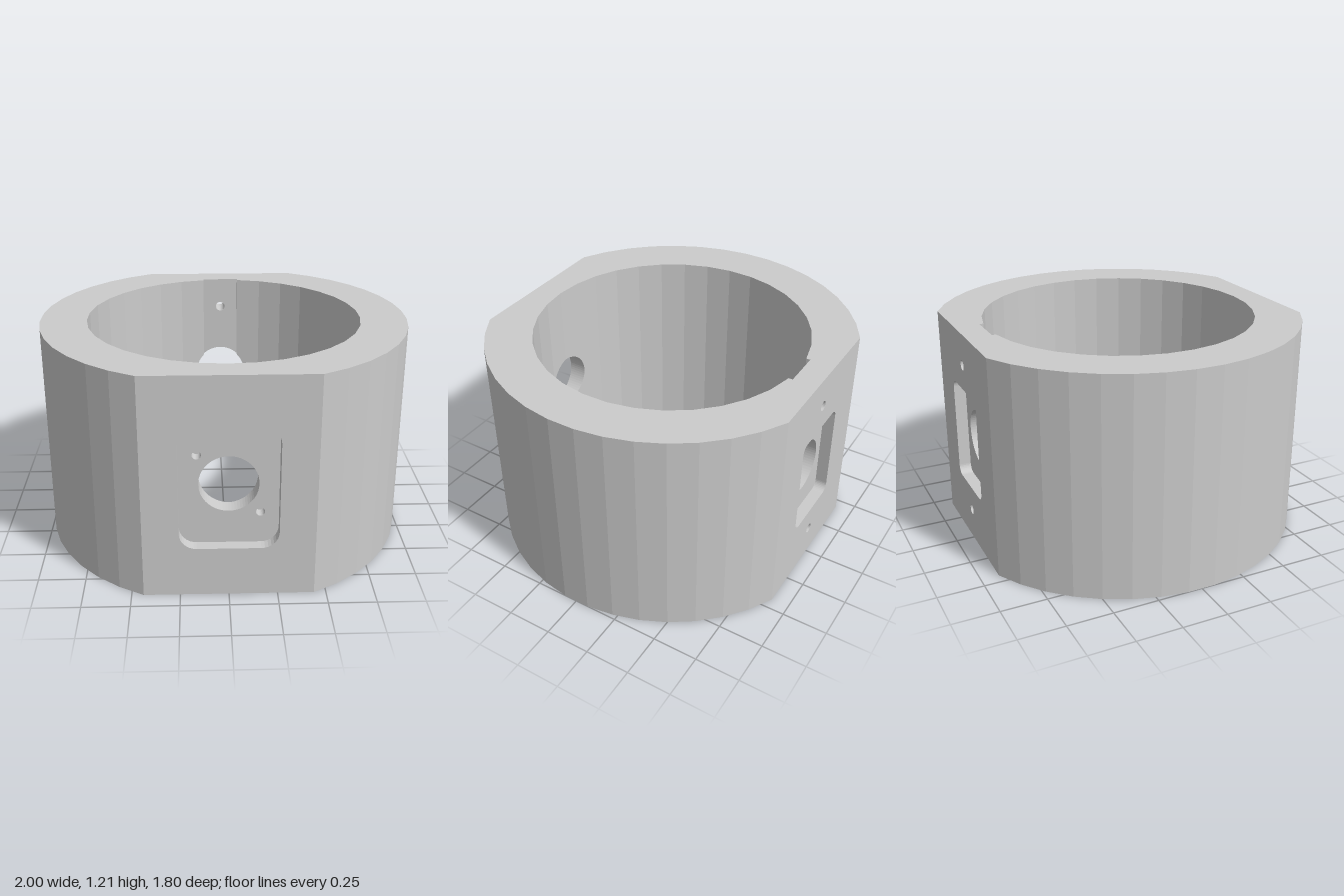
import * as THREE from 'three';

const H = 1.205, MID = 0.603;           // height and bore centre
const R = 1.0028, RI = 0.75, FLAT = 0.902; // outer and inner radius, flat distance
const BORE = 0.152, POCKET = 0.065;     // bore radius, pocket depth
const SLOT = 0.105, SLOT_Z = 0.765;     // keyway half width and floor

const material = new THREE.MeshStandardMaterial({ color: 0xcccccc, flatShading: true });

function mesh(name, geometry) {
  const m = new THREE.Mesh(geometry, material);
  m.name = name;
  return m;
}

// Collects quads (corners counter-clockwise) into one faceted geometry
function quads() {
  const pos = [];
  return {
    add(a, b, c, d) { for (const p of [a, b, c, a, c, d]) pos.push(...p); },
    build() {
      const g = new THREE.BufferGeometry();
      g.setAttribute('position', new THREE.Float32BufferAttribute(pos, 3));
      g.computeVertexNormals();
      return g;
    },
  };
}

function circle(x, y, r, n = 24) {
  return Array.from({ length: n }, (_, i) => {
    const a = (i / n) * Math.PI * 2;
    return new THREE.Vector2(x + r * Math.cos(a), y + r * Math.sin(a));
  });
}

function roundedRect(w, h, r) {
  const pts = [];
  [[1, 1], [-1, 1], [-1, -1], [1, -1]].forEach(([sx, sy], k) => {
    for (let i = 0; i <= 8; i++) {
      const a = (k + i / 8) * Math.PI / 2;
      pts.push(new THREE.Vector2(sx * (w - r) + r * Math.cos(a), MID + sy * (h - r) + r * Math.sin(a)));
    }
  });
  return pts;
}

function plate(outline, holes) {
  const s = new THREE.Shape(outline);
  s.holes = holes.map((h) => new THREE.Path(h));
  return new THREE.ShapeGeometry(s);
}

// Inward-facing walls of a recess running from z0 back to z1
function recess(outline, z0, z1) {
  const q = quads();
  outline.forEach((p, i) => {
    const n = outline[(i + 1) % outline.length];
    q.add([p.x, p.y, z0], [n.x, n.y, z0], [n.x, n.y, z1], [p.x, p.y, z1]);
  });
  return q.build();
}

// Flat side with a rounded pocket, bore opening and drilled holes
function flatSide(name, halfWidth, pocket, faceDrills, floorDrills) {
  const g = new THREE.Group();
  g.name = name;
  const floor = FLAT - POCKET;
  const rim = [[-1, 0], [1, 0], [1, H], [-1, H]].map(([s, y]) => new THREE.Vector2(s * halfWidth, y));
  const face = mesh('flatFace', plate(rim, [pocket, ...faceDrills]));
  face.position.z = FLAT;
  const base = mesh('pocketFloor', plate(pocket, [circle(0, MID, BORE, 64), ...floorDrills]));
  base.position.z = floor;
  g.add(face, base, mesh('pocketWall', recess(pocket, FLAT, floor)));
  // through holes into the keyway
  for (const d of faceDrills) g.add(mesh('throughHole', recess(d, FLAT, SLOT_Z)));
  // blind holes in the pocket floor
  for (const d of floorDrills) {
    g.add(mesh('blindHole', recess(d, floor, floor - 0.06)));
    const end = mesh('blindHoleEnd', plate(d, []));
    end.position.z = floor - 0.06;
    g.add(end);
  }
  return g;
}

export function createModel() {
  const group = new THREE.Group();
  group.name = 'collar';

  // Outer outline: two arcs of 15 facets joined by the flats
  const outer = [], outerWall = quads();
  const half = Math.asin(FLAT / R);
  for (const side of [0, Math.PI]) {
    const arc = [];
    for (let i = 0; i <= 15; i++) {
      const a = side + Math.PI / 2 - half + (2 * half * i) / 15;
      arc.push([R * Math.sin(a), R * Math.cos(a)]);
    }
    for (let i = 0; i < 15; i++) {
      const [p, q] = [arc[i], arc[i + 1]];
      outerWall.add([p[0], 0, p[1]], [q[0], 0, q[1]], [q[0], H, q[1]], [p[0], H, p[1]]);
    }
    outer.push(...arc);
  }
  group.add(mesh('outerWall', outerWall.build()));

  // Inner outline: 32 facets plus the keyway at the back
  const inner = [];
  const end = Math.PI - Math.asin(SLOT / RI);
  for (let i = 0; i <= 32; i++) {
    const a = -end + (2 * end * i) / 32;
    inner.push([RI * Math.sin(a), RI * Math.cos(a)]);
  }
  inner.push([SLOT, -SLOT_Z], [-SLOT, -SLOT_Z]);

  // Inner wall cut by the bore, sliced where the bore needs it
  const innerWall = quads(), boreWall = quads();
  const cuts = Array.from({ length: 33 }, (_, k) => BORE * Math.cos((k * Math.PI) / 32));
  const rise = (x) => Math.sqrt(Math.max(0, BORE * BORE - x * x));
  inner.forEach((p, i) => {
    const q = inner[(i + 1) % inner.length];
    const dx = q[0] - p[0];
    const isSlotFloor = i === 33;
    const ts = Math.abs(dx) < 1e-6 ? [] : cuts.map((x) => (x - p[0]) / dx).filter((t) => t > 1e-4 && t < 0.9999);
    const steps = [0, ...ts.sort((a, b) => a - b), 1];
    for (let k = 0; k + 1 < steps.length; k++) {
      const [a, b] = [steps[k], steps[k + 1]].map((t) => {
        const x = p[0] + dx * t;
        return { x, z: p[1] + (q[1] - p[1]) * t, h: rise(x) };
      });
      if (!isSlotFloor) {
        innerWall.add([b.x, MID + b.h, b.z], [a.x, MID + a.h, a.z], [a.x, H, a.z], [b.x, H, b.z]);
        innerWall.add([b.x, 0, b.z], [a.x, 0, a.z], [a.x, MID - a.h, a.z], [b.x, MID - b.h, b.z]);
      }
      if (Math.abs(a.x - b.x) > 1e-6 && a.h + b.h > 1e-6) {
        const f = Math.sign(a.z) * (FLAT - POCKET);
        boreWall.add([a.x, MID + a.h, a.z], [b.x, MID + b.h, b.z], [b.x, MID + b.h, f], [a.x, MID + a.h, f]);
        boreWall.add([b.x, MID - b.h, b.z], [a.x, MID - a.h, a.z], [a.x, MID - a.h, f], [b.x, MID - b.h, f]);
      }
    }
  });
  group.add(mesh('innerWall', innerWall.build()), mesh('boreWall', boreWall.build()));

  // Keyway floor above and below the bore, each with a drilled hole
  const drills = [1, -1].map((s) => circle(0, MID + s * 0.426, 0.028));
  [1, -1].forEach((s, i) => {
    const edge = [new THREE.Vector2(SLOT, s > 0 ? H : 0), new THREE.Vector2(-SLOT, s > 0 ? H : 0)];
    for (const x of [-SLOT, ...cuts.filter((c) => Math.abs(c) < SLOT).reverse(), SLOT]) {
      edge.push(new THREE.Vector2(x, MID + s * rise(x)));
    }
    const m = mesh('keywayFloor', plate(edge, [drills[i]]));
    m.position.z = -SLOT_Z;
    group.add(m);
  });

  // Ring-shaped top and bottom faces
  for (const s of [1, -1]) {
    const flip = (pts) => pts.map(([x, z]) => new THREE.Vector2(x, -s * z));
    const cap = mesh(s > 0 ? 'topFace' : 'bottomFace', plate(flip(outer), [flip(inner)]));
    cap.rotation.x = (-s * Math.PI) / 2;
    cap.position.y = s > 0 ? H : 0;
    group.add(cap);
  }

  // Front and back flats
  const width = R * Math.cos(half);
  const pins = [circle(-0.16, MID + 0.16, 0.023), circle(0.16, MID - 0.16, 0.023)];
  group.add(flatSide('frontFlat', width, roundedRect(0.253, 0.333, 0.09), [], pins));
  const back = flatSide('backFlat', width, roundedRect(0.203, 0.283, 0.045), drills, []);
  back.rotation.y = Math.PI;
  group.add(back);

  return group;
}
